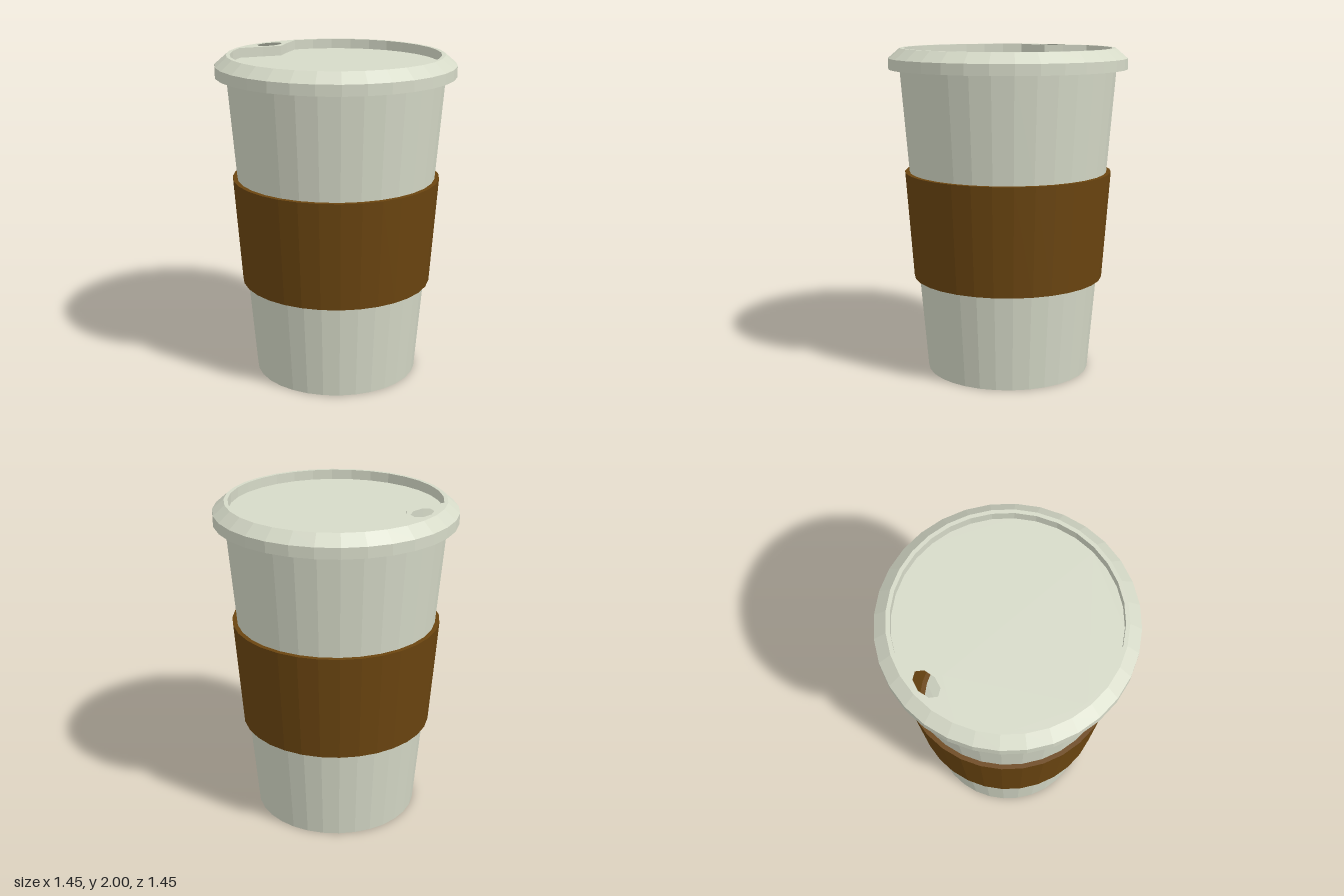
import * as THREE from 'three';

const SIDES = 32;
const clay = new THREE.MeshStandardMaterial({ color: 0xd6dac8, side: THREE.DoubleSide });
clay.name = 'pale grey';
const brown = new THREE.MeshStandardMaterial({ color: 0x6b4510, side: THREE.DoubleSide });
brown.name = 'sleeve brown';

// Faceted mesh: every face gets its own normal
function facet(name, geometry, material) {
  const geo = geometry.index ? geometry.toNonIndexed() : geometry;
  geo.computeVertexNormals();
  const mesh = new THREE.Mesh(geo, material);
  mesh.name = name;
  return mesh;
}

function lathe(name, profile, material) {
  const points = profile.map(([r, y]) => new THREE.Vector2(r, y));
  return facet(name, new THREE.LatheGeometry(points, SIDES), material);
}

// Flat horizontal plate; shape y points to the back (-z)
function plate(name, shape, y) {
  const geo = new THREE.ShapeGeometry(shape);
  geo.rotateX(-Math.PI / 2).translate(0, y, 0);
  return facet(name, geo, clay);
}

// Polygon around the y axis, starting at the back
function ring(count, radiusAt) {
  return Array.from({ length: count }, (_, i) => {
    const a = (i / count) * Math.PI * 2;
    const r = radiusAt(i);
    return new THREE.Vector2(Math.sin(a) * r, Math.cos(a) * r);
  });
}

export function createModel() {
  const model = new THREE.Group();
  const lidTop = 2, floorY = 1.94;

  // Cup wall, interrupted by the sleeve, which forms the wall there
  model.add(lathe('lowerCup', [[0, 0], [0.505, 0], [0.555, 0.59]], clay));
  model.add(lathe('sleeve', [[0.555, 0.59], [0.587, 0.59], [0.635, 1.25], [0.607, 1.25]], brown));
  model.add(lathe('upperCup', [[0.607, 1.25], [0.658, 1.875]], clay));

  // Lid skirt and bevel
  const lid = new THREE.Group();
  lid.name = 'lid';
  lid.add(lathe('lidRim', [[0.658, 1.875], [0.725, 1.875], [0.725, 1.94], [0.655, lidTop]], clay));

  // Recess outline, pushed inward at the back to leave the drinking ledge
  const inset = { 0: 0.465, 1: 0.53, [SIDES - 1]: 0.53 };
  const outline = ring(SIDES, (i) => inset[i] ?? 0.632);

  // Upper face with the recess and the sip hole cut out
  const top = new THREE.Shape(ring(SIDES, () => 0.655));
  const sip = ring(8, () => 1).map((p) => new THREE.Vector2(p.x * 0.094, 0.568 + p.y * 0.057));
  top.holes.push(new THREE.Path(outline), new THREE.Path(sip));
  lid.add(plate('lidTop', top, lidTop));
  lid.add(plate('lidFloor', new THREE.Shape(outline), floorY));

  // Recess wall facing inward
  const wall = [];
  outline.forEach((p, i) => {
    const q = outline[(i + 1) % SIDES];
    const a = [p.x, floorY, -p.y], b = [q.x, floorY, -q.y];
    const c = [q.x, lidTop, -q.y], d = [p.x, lidTop, -p.y];
    wall.push(...a, ...b, ...c, ...a, ...c, ...d);
  });
  const wallGeo = new THREE.BufferGeometry();
  wallGeo.setAttribute('position', new THREE.Float32BufferAttribute(wall, 3));
  lid.add(facet('recessWall', wallGeo, clay));

  model.add(lid);
  return model;
}
